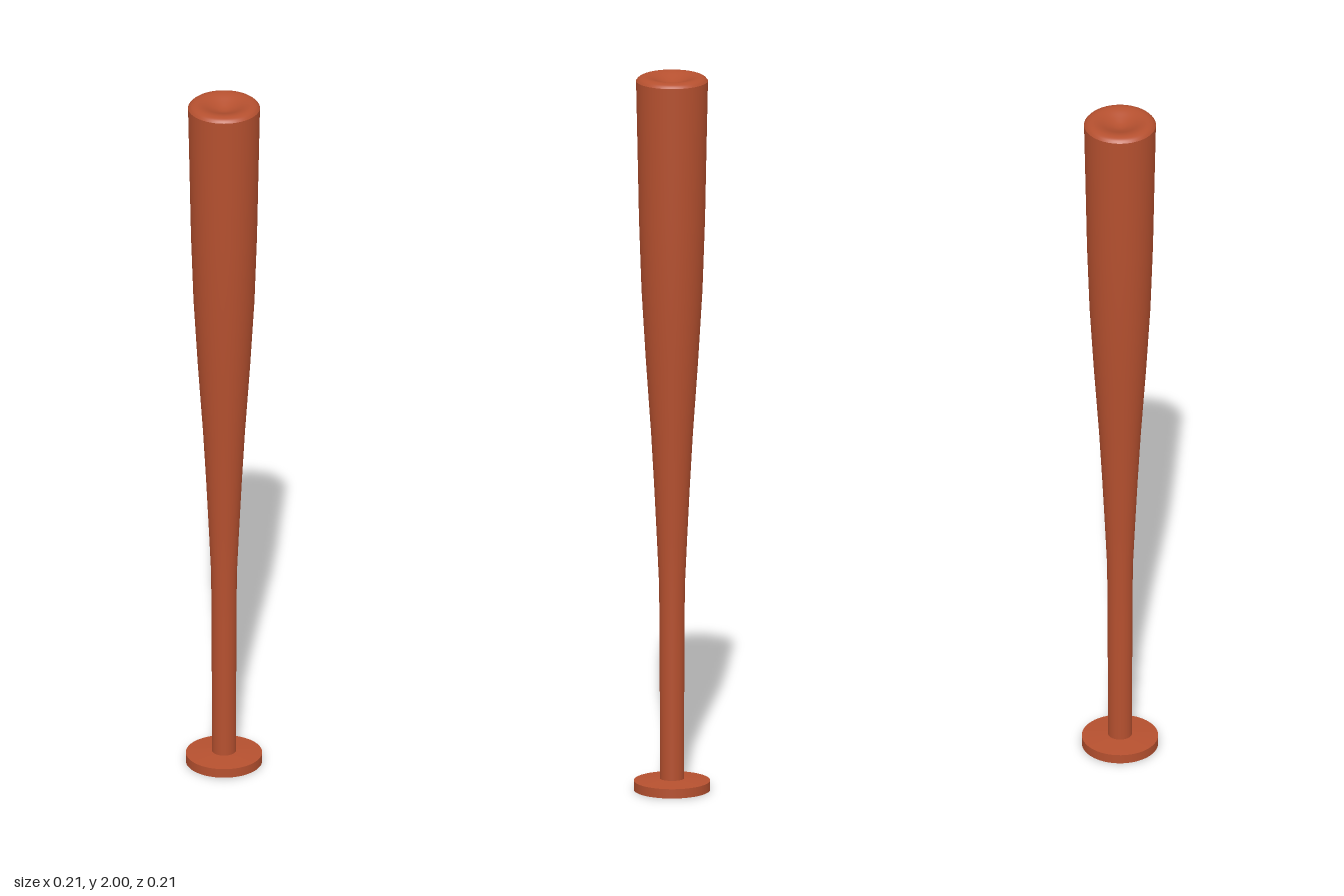
import * as THREE from 'three';

export function createModel() {
  const bat = new THREE.Group();
  bat.name = 'bat';
  const wood = new THREE.MeshStandardMaterial({ color: 0xb5502f });

  // Turned surface; each piece has its own normals, so the seams stay sharp
  const turn = (name, profile, parent = bat) => {
    const points = profile.map(([r, y]) => new THREE.Vector2(r, y));
    const mesh = new THREE.Mesh(new THREE.LatheGeometry(points, 64), wood);
    mesh.name = name;
    parent.add(mesh);
  };

  // Knob: flat base, short wall, slightly raised top
  const knob = new THREE.Group();
  knob.name = 'knob';
  bat.add(knob);
  turn('knobBase', [[0, 0], [0.104, 0]], knob);
  turn('knobWall', [[0.104, 0], [0.104, 0.026]], knob);
  turn('knobTop', [[0.104, 0.026], [0.05, 0.031], [0.03, 0.032]], knob);

  // Straight handle swelling smoothly into the barrel
  turn('handleAndBarrel', [
    [0.033, 0.03], [0.033, 0.2], [0.034, 0.4], [0.035, 0.57],
    [0.041, 0.7], [0.0485, 0.85], [0.057, 1.0], [0.071, 1.2],
    [0.083, 1.4], [0.09, 1.6], [0.094, 1.8], [0.098, 1.988],
  ]);

  // Rounded end with a shallow dimple in the middle
  const end = new THREE.SplineCurve([
    [0.098, 1.988], [0.09, 1.996], [0.076, 2.0], [0.058, 1.997],
    [0.035, 1.988], [0.015, 1.981], [0, 1.979],
  ].map(([r, y]) => new THREE.Vector2(r, y)));
  turn('cuppedEnd', end.getPoints(24).map((p) => [Math.max(0, p.x), Math.min(2, p.y)]));

  return bat;
}
